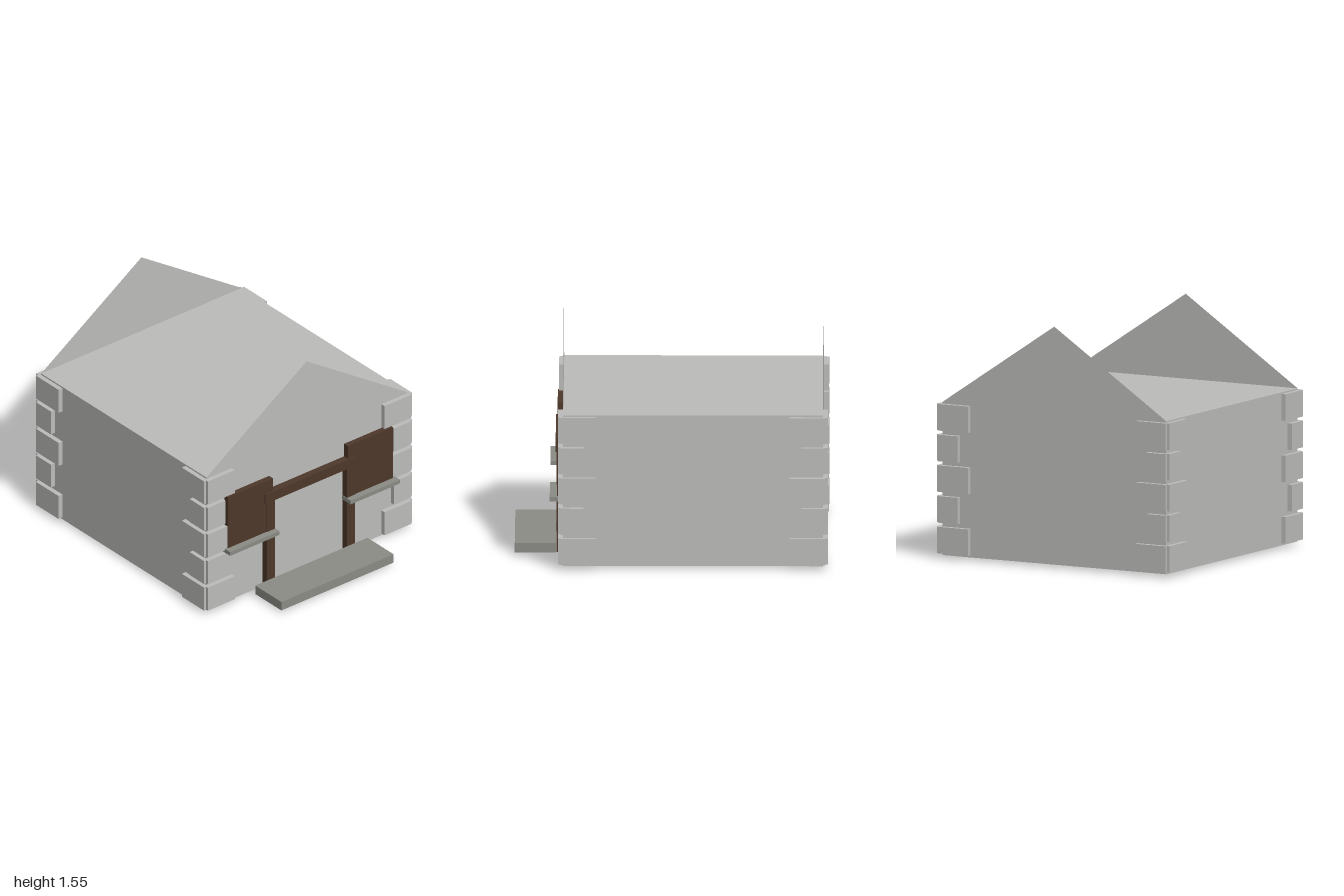
import * as THREE from 'three';

const mat = (name, color, extra = {}) => {
  const m = new THREE.MeshStandardMaterial({ color, ...extra });
  m.name = name;
  return m;
};

export function createModel() {
  const house = new THREE.Group();
  house.name = 'cottage';
  const stone = mat('pale stone', 0xbdbdbb);
  const slab = mat('grey slab', 0x8c8d87);
  const wood = mat('dark wood', 0x4e382b);
  stone.side = THREE.DoubleSide; // the gables are open sheets

  // Box given by its extents on each axis
  const box = (name, material, [x0, x1], [y0, y1], [z0, z1], parent = house) => {
    const mesh = new THREE.Mesh(new THREE.BoxGeometry(x1 - x0, y1 - y0, z1 - z0), material);
    mesh.position.set((x0 + x1) / 2, (y0 + y1) / 2, (z0 + z1) / 2);
    mesh.name = name;
    parent.add(mesh);
    return mesh;
  };
  // Extent mirrored to the given side of x = 0
  const mirror = (s, a, b) => (s > 0 ? [a, b] : [-b, -a]);

  const W = 0.828, BASE = 0.02, TOP = 1.007, FRONT = 0.69, BACK = -0.967;

  // Flat-topped walls
  box('walls', stone, [-W, W], [BASE, TOP], [BACK, FRONT]);

  // Flat gable sheets standing on the front and back walls
  const triangle = new THREE.Shape([
    new THREE.Vector2(-W, TOP), new THREE.Vector2(W, TOP), new THREE.Vector2(0, 1.555),
  ]);
  for (const [name, z, turn] of [['frontGable', FRONT, 0], ['backGable', BACK, Math.PI]]) {
    const gable = new THREE.Mesh(new THREE.ShapeGeometry(triangle), stone);
    gable.position.z = z;
    gable.rotation.y = turn;
    gable.name = name;
    house.add(gable);
  }

  // Corner stones: alternating long and short, each a face slab and a side slab
  const quoins = new THREE.Group();
  quoins.name = 'cornerStones';
  house.add(quoins);
  for (const s of [-1, 1]) {
    for (let row = 0; row < 5; row++) {
      const y0 = 0.034 + row * 0.198;
      const ys = [y0, y0 + 0.171];
      const short = row % 2 ? 0.078 : 0;
      const faceX = mirror(s, 0.618 + short, 0.842);
      const sideX = mirror(s, 0.82, 0.86);
      box('frontCornerStone', stone, faceX, ys, [0.68, 0.722], quoins);
      box('frontCornerStoneSide', stone, sideX, ys, [0.483 + short, 0.705], quoins);
      box('backCornerStone', stone, faceX, ys, [-1, -0.957], quoins);
      box('backCornerStoneSide', stone, sideX, ys, [-0.982, -0.753 - short], quoins);
    }
  }

  // Door frame
  for (const s of [-1, 1]) {
    box('doorPost', wood, mirror(s, 0.297, 0.363), [0, 0.69], [0.685, 0.734]);
  }
  box('doorLintel', wood, [-0.38, 0.38], [0.66, 0.727], [0.685, 0.74]);

  // Window panels with sills
  for (const s of [-1, 1]) {
    box('windowPanel', wood, mirror(s, 0.31, 0.68), [0.43, 0.82], [0.685, 0.73]);
    box('windowSill', slab, mirror(s, 0.293, 0.702), [0.414, 0.442], [0.685, 0.776]);
  }

  // Door step
  box('doorStep', slab, [-0.463, 0.463], [BASE, 0.083], [0.738, 1]);

  return house;
}
